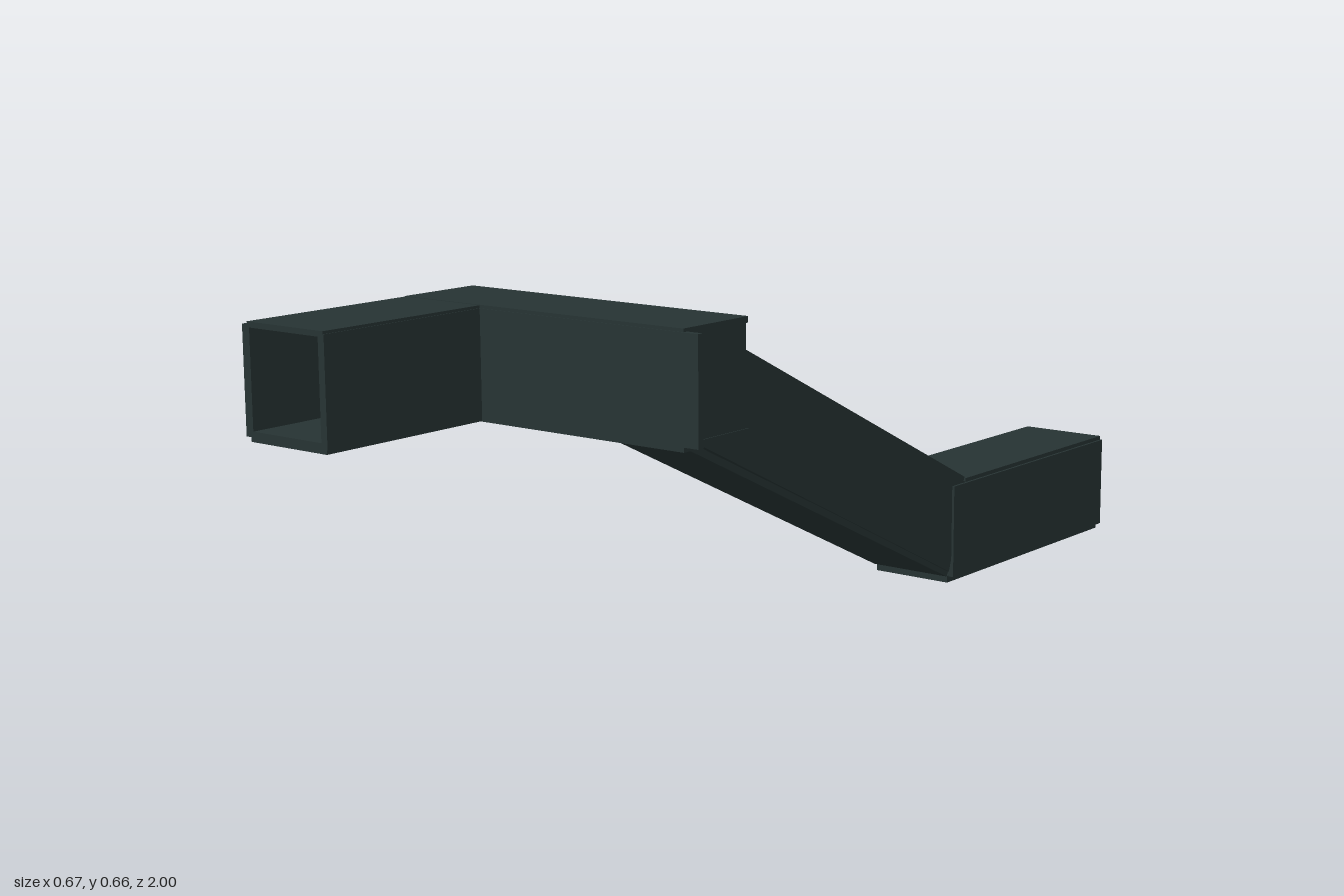
import * as THREE from 'three';

export function createModel() {
  const model = new THREE.Group();
  model.name = 'ductwork';
  const steel = new THREE.MeshStandardMaterial({ color: 0x263333 });
  steel.name = 'dark steel';

  const section = (name) => {
    const g = new THREE.Group();
    g.name = name;
    model.add(g);
    return g;
  };
  // flat panel given by its limits on each axis
  const panel = (parent, name, x0, x1, y0, y1, z0, z1) => {
    const m = new THREE.Mesh(new THREE.BoxGeometry(x1 - x0, y1 - y0, z1 - z0), steel);
    m.position.set((x0 + x1) / 2, (y0 + y1) / 2, (z0 + z1) / 2);
    m.name = name;
    parent.add(m);
  };
  // panel with a [z, y] side outline, running from x0 to x1
  const profilePanel = (parent, name, x0, x1, points) => {
    const shape = new THREE.Shape(points.map(([z, y]) => new THREE.Vector2(z, y)));
    const geo = new THREE.ExtrudeGeometry(shape, { depth: x1 - x0, bevelEnabled: false });
    geo.rotateY(-Math.PI / 2).translate(x1, 0, 0);
    const m = new THREE.Mesh(geo, steel);
    m.name = name;
    parent.add(m);
  };

  // front duct, open at the front
  const front = section('frontDuct');
  panel(front, 'roof', -0.325, -0.145, 0.65, 0.66, 0.635, 1);
  panel(front, 'floor', -0.325, -0.145, 0.457, 0.475, 0.635, 1);
  panel(front, 'rightWall', -0.337, -0.32, 0.465, 0.655, 0.622, 1);
  panel(front, 'leftWall', -0.157, -0.143, 0.465, 0.655, 0.637, 1);

  // cross duct, closed at the ends, open to the front duct and the ramp
  const cross = section('crossDuct');
  panel(cross, 'roof', -0.325, 0.305, 0.65, 0.661, 0.462, 0.635);
  panel(cross, 'floor', -0.325, 0.305, 0.456, 0.47, 0.462, 0.635);
  panel(cross, 'frontWall', -0.157, 0.337, 0.465, 0.655, 0.625, 0.637);
  panel(cross, 'rightEnd', -0.32, -0.307, 0.465, 0.655, 0.465, 0.63);
  panel(cross, 'leftEnd', 0.288, 0.303, 0.465, 0.655, 0.465, 0.63);
  panel(cross, 'backWallRight', -0.318, -0.01, 0.46, 0.655, 0.464, 0.477);
  panel(cross, 'backWallLeft', 0.15, 0.302, 0.46, 0.655, 0.464, 0.477);

  // sloping duct
  const ramp = section('rampDuct');
  const side = [[0.468, 0.65], [-0.45, 0.2], [-0.392, 0.025], [0.468, 0.442]];
  profilePanel(ramp, 'rightWall', -0.022, -0.008, side);
  profilePanel(ramp, 'leftWall', 0.149, 0.163, side);
  profilePanel(ramp, 'roof', -0.018, 0.159, [[0.462, 0.656], [-0.452, 0.21], [-0.446, 0.197], [0.468, 0.643]]);
  profilePanel(ramp, 'floor', -0.018, 0.159, [[0.53, 0.468], [-0.396, 0.026], [-0.39, 0.014], [0.536, 0.456]]);

  // back duct, open at the back
  const back = section('backDuct');
  panel(back, 'roof', -0.022, 0.163, 0.196, 0.208, -1, -0.45);
  panel(back, 'floor', -0.015, 0.157, 0, 0.014, -1, -0.395);
  panel(back, 'rightWall', -0.028, -0.012, 0.012, 0.2, -1, -0.4);
  panel(back, 'leftWall', 0.152, 0.168, 0.012, 0.2, -1, -0.4);

  return model;
}
